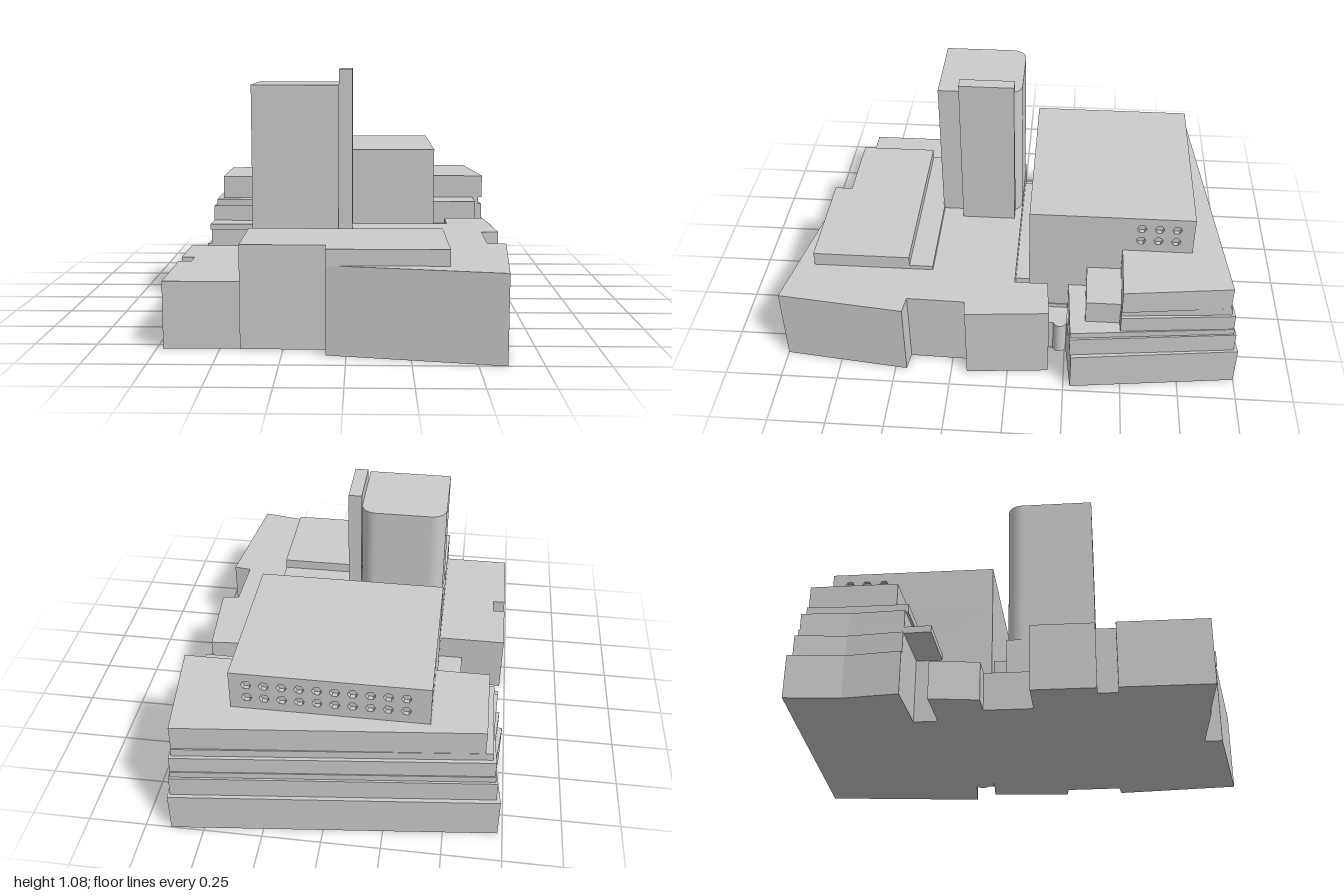
import * as THREE from 'three';

const material = new THREE.MeshStandardMaterial({ color: 0xcccccc });

export function createModel() {
  const model = new THREE.Group();

  const add = (name, geometry) => {
    const mesh = new THREE.Mesh(geometry, material);
    mesh.name = name;
    model.add(mesh);
    return mesh;
  };

  // Vertical prism over a plan outline given as [x, z] corners
  const prism = (name, plan, y0, y1) => {
    const shape = new THREE.Shape(plan.map(([x, z]) => new THREE.Vector2(x, -z)));
    const g = new THREE.ExtrudeGeometry(shape, { depth: y1 - y0, bevelEnabled: false });
    g.rotateX(-Math.PI / 2).translate(0, y0, 0);
    return add(name, g);
  };

  const box = (name, x0, x1, y0, y1, z0, z1) => {
    const g = new THREE.BoxGeometry(x1 - x0, y1 - y0, z1 - z0);
    g.translate((x0 + x1) / 2, (y0 + y1) / 2, (z0 + z1) / 2);
    return add(name, g);
  };

  // Front podium
  prism('frontPodium', [
    [-0.42, -0.02], [0.455, -0.02], [0.455, -0.165], [0.64, -0.18], [0.67, 0.18], [0.595, 0.19],
    [0.59, 0.44], [0.67, 0.45], [0.61, 1.0], [-0.08, 0.88], [-0.08, 0.805], [-0.42, 0.805],
  ], 0, 0.355);
  prism('podiumRoof', [
    [-0.42, 0.455], [0.4, 0.455], [0.4, 0.885], [-0.08, 0.885], [-0.08, 0.805], [-0.42, 0.805],
  ], 0.355, 0.42);
  box('roofStep', -0.42, 0.4, 0.355, 0.375, 0.35, 0.455);
  prism('sideWing', [
    [-0.42, 0.1], [-0.725, 0.1], [-0.725, 0.355], [-0.67, 0.355], [-0.67, 0.435],
    [-0.725, 0.435], [-0.725, 0.8], [-0.42, 0.8],
  ], 0, 0.272);

  // Low link between the two halves
  box('lowLink', -0.53, 0.455, 0, 0.16, -0.3, 0.1);
  prism('lowAnnex', [[-0.5, -0.3], [-0.67, -0.3], [-0.64, -0.1], [-0.5, -0.1]], 0, 0.16);
  box('entrance', 0.39, 0.5, 0, 0.16, -0.27, -0.17);
  const drum = add('entranceDrum', new THREE.CylinderGeometry(0.03, 0.03, 0.16, 24));
  drum.position.set(0.492, 0.08, -0.225);
  box('bridge', -0.33, 0.37, 0, 0.3, -0.09, -0.01);

  // Tower with two rounded rear corners
  const [l, r, f, b, rad] = [-0.415, -0.042, -0.355, 0.018, 0.065];
  const plan = new THREE.Shape();
  plan.moveTo(l, f);
  plan.lineTo(r, f);
  plan.lineTo(r, b - rad);
  plan.absarc(r - rad, b - rad, rad, 0, Math.PI / 2, false);
  plan.lineTo(l + rad, b);
  plan.absarc(l + rad, b - rad, rad, Math.PI / 2, Math.PI, false);
  const tower = new THREE.ExtrudeGeometry(plan, { depth: 0.665, bevelEnabled: false, curveSegments: 10 });
  add('tower', tower.rotateX(-Math.PI / 2).translate(0, 0.355, 0));
  box('towerFin', -0.042, 0.016, 0.355, 1.083, 0.012, 0.255);

  // Stepped rear terraces
  prism('terraceBase', [
    [-0.73, -0.855], [0.64, -1.0], [0.725, -0.28], [0.5, -0.255], [0.4, -0.255], [0.4, -0.08],
    [-0.42, -0.08], [-0.42, -0.4], [-0.73, -0.4], [-0.705, -0.63],
  ], 0, 0.18);
  // Each tier: bottom, top, inset of the outline from the base, front edge left and right
  const tiers = [
    [0.18, 0.272, 0.018, -0.4, -0.272],
    [0.272, 0.3, 0.028, -0.29, -0.272],
    [0.3, 0.375, 0.032, -0.4, -0.485],
    [0.375, 0.41, 0.048, -0.39, -0.485],
  ];
  tiers.forEach(([y0, y1, d, zl, zr], i) => {
    const waist = -0.7 + d * 0.5;
    const xr = 0.725 - d + (zr + 0.28) * 0.118;
    prism('terrace' + (i + 1), [
      [-0.73 + d, -0.855 + d], [0.64 - d * 0.5, -1.0 + d], [xr, zr], [0.39, zr + 0.015],
      [-0.4, zr], [-0.4, zl], [-0.73 + d * 1.1, zl], [waist, -0.63],
    ], y0, y1);
  });
  prism('topTerrace', [
    [-0.65, -0.81], [0.615, -0.945], [0.67, -0.485], [0.38, -0.485], [0.38, -0.445], [-0.65, -0.445],
  ], 0.41, 0.52);
  box('terraceBox', 0.39, 0.62, 0.3, 0.41, -0.486, -0.335);

  // Main rear block: solid core wrapped by panels with hexagonal openings
  const [x0, x1, z0, z1, t] = [-0.422, 0.397, -0.785, -0.08, 0.02];
  box('blockBase', x0, x1, 0, 0.52, z0, z1);
  box('blockCore', x0 + t, x1 - t, 0.52, 0.698, z0 + t, z1);

  const panel = (name, width, columns) => {
    const shape = new THREE.Shape();
    shape.moveTo(0, 0.52).lineTo(width, 0.52).lineTo(width, 0.698).lineTo(0, 0.698);
    for (const y of [0.578, 0.642]) {
      for (const u of columns) {
        const hex = [];
        for (let k = 0; k < 6; k++) {
          const a = -k * Math.PI / 3;
          hex.push(new THREE.Vector2(u + 0.021 * Math.cos(a), y + 0.021 * Math.sin(a)));
        }
        shape.holes.push(new THREE.Path(hex));
      }
    }
    return add(name, new THREE.ExtrudeGeometry(shape, { depth: t, bevelEnabled: false }));
  };
  const rearColumns = Array.from({ length: 10 }, (_, i) => 0.1 + i * 0.072);
  panel('rearPanel', x1 - x0, rearColumns).position.set(x0, 0, z0);
  for (const x of [x0, x1 - t]) {
    const side = panel('sidePanel', z1 - z0 - t, [0.48, 0.555, 0.63]);
    side.rotation.y = Math.PI / 2;
    side.position.set(x, 0, z1);
  }
  return model;
}
